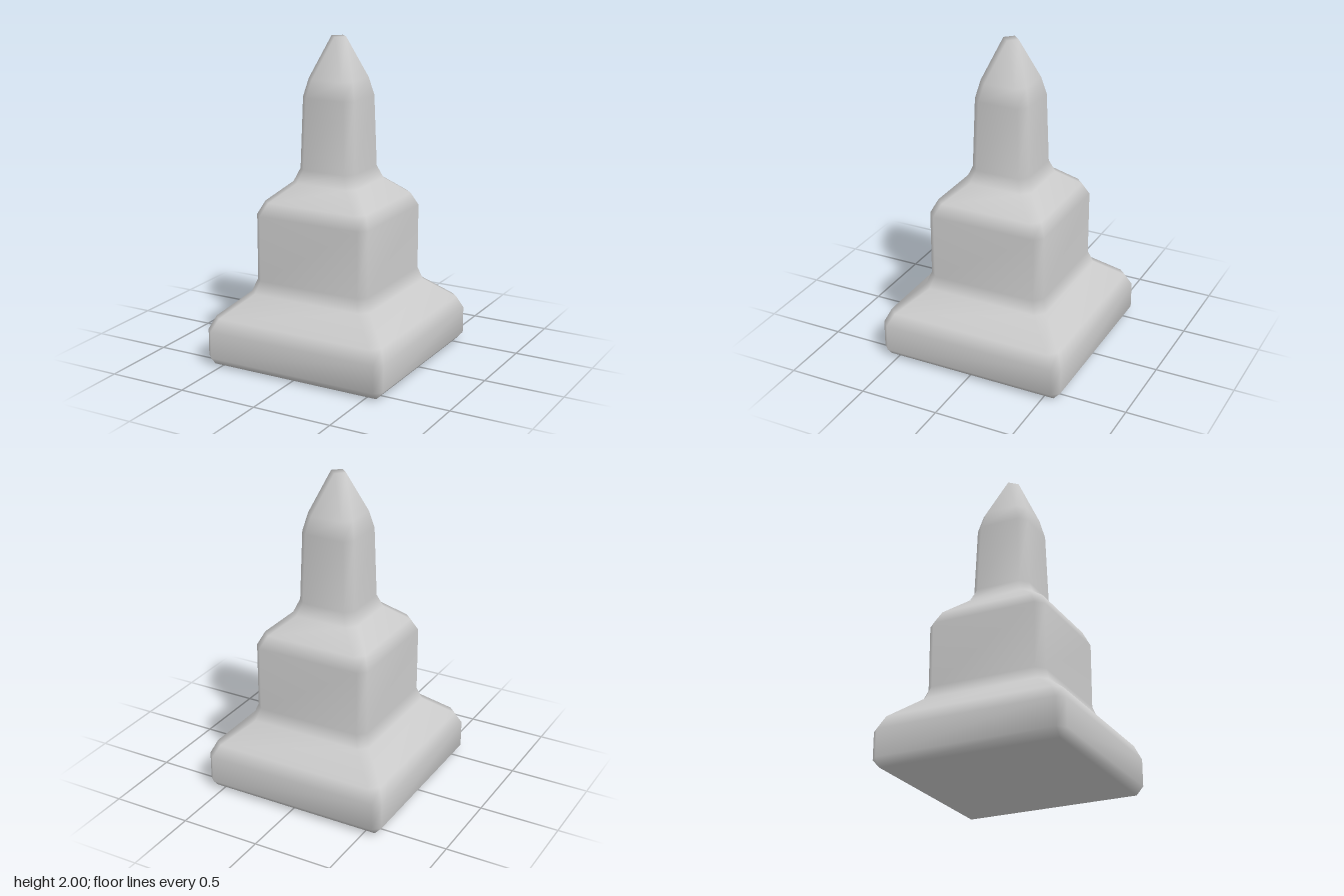
import * as THREE from 'three';
import { mergeVertices } from 'three/addons/utils/BufferGeometryUtils.js';

// Cross-sections from the ground up: [height, half width, corner chamfer]
const SECTIONS = [
  [0, 0.56, 0], [0.05, 0.605, 0.045], [0.22, 0.605, 0.045], [0.3, 0.57, 0.05], // base
  [0.44, 0.41, 0.05], [0.52, 0.382, 0.048], [0.93, 0.382, 0.048], [1.01, 0.345, 0.05], // middle tier
  [1.12, 0.22, 0.05], [1.2, 0.188, 0.048], [1.64, 0.175, 0.048], [1.75, 0.15, 0.05], [2, 0.05, 0.05], // spire
];

// Square ring with cut corners, counter-clockwise from above
function ring([y, h, c]) {
  const k = h - c;
  return [[h, -k], [k, -h], [-k, -h], [-h, -k], [-h, k], [-k, h], [k, h], [h, k]]
    .flatMap(([x, z]) => [x, y, z]);
}

function loft(sections) {
  const n = 8, last = (sections.length - 1) * n, index = [];
  for (let s = 0; s < last; s += n) {
    for (let i = 0; i < n; i++) {
      const a = s + i, b = s + (i + 1) % n;
      index.push(a, b, b + n, a, b + n, a + n);
    }
  }
  // Underside and tip caps
  for (let i = 1; i < n - 1; i++) {
    index.push(0, i + 1, i, last, last + i, last + i + 1);
  }
  let geometry = new THREE.BufferGeometry();
  geometry.setAttribute('position', new THREE.Float32BufferAttribute(sections.flatMap(ring), 3));
  geometry.setIndex(index);
  // Weld coinciding corners so the shading stays smooth
  geometry = mergeVertices(geometry);
  geometry.computeVertexNormals();
  return geometry;
}

export function createModel() {
  const group = new THREE.Group();
  group.name = 'steppedTower';
  const tower = new THREE.Mesh(loft(SECTIONS), new THREE.MeshStandardMaterial({ color: 0xcccccc }));
  tower.name = 'towerBody';
  group.add(tower);
  return group;
}
